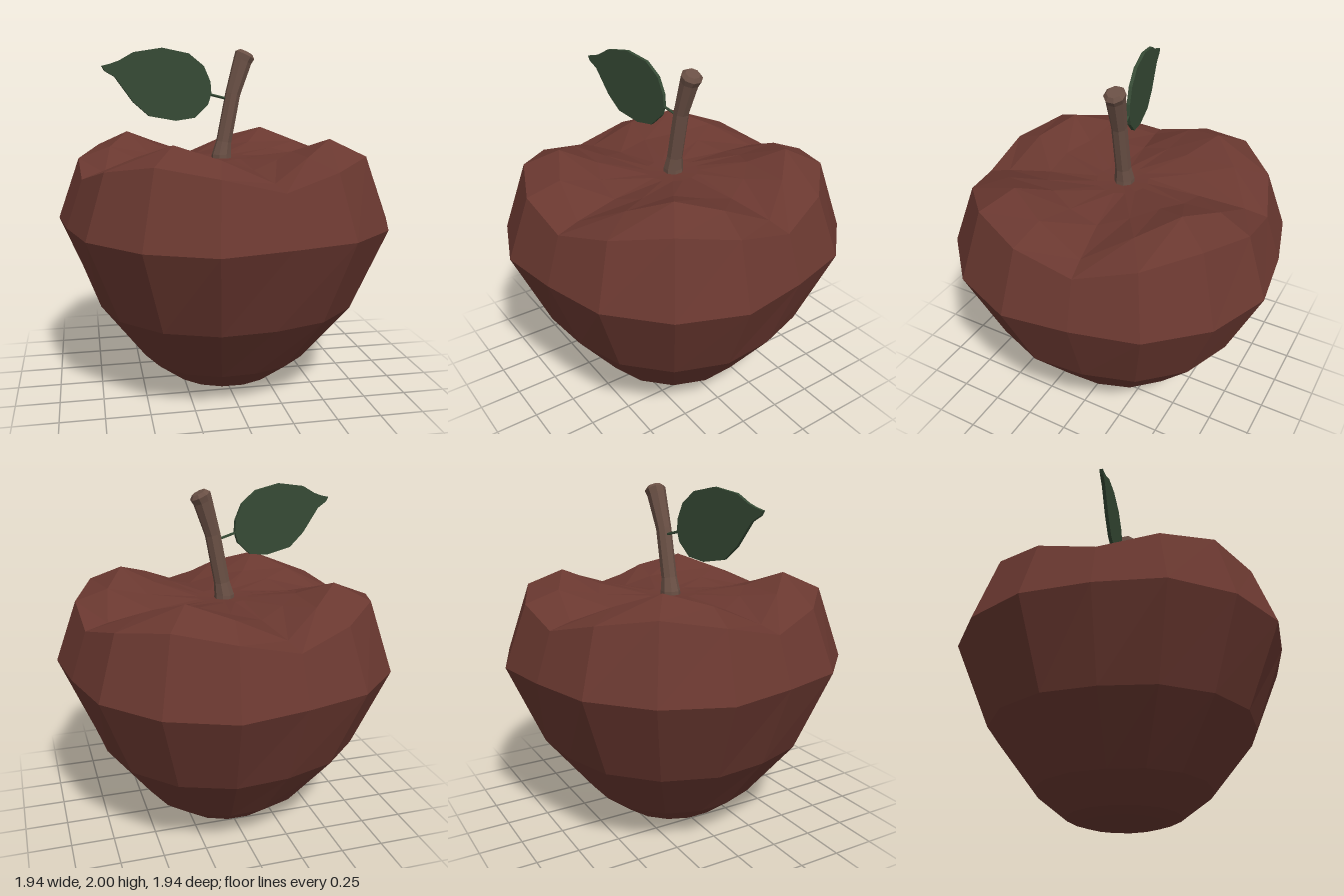
import * as THREE from 'three';

const paint = (color) => new THREE.MeshStandardMaterial({ color, flatShading: true, side: THREE.DoubleSide });

// Skin through rings of [x, y, z] points, bottom to top; end rings may be collapsed to a point.
function skin(rings) {
  const n = rings[0].length;
  const index = [];
  for (let i = 0; i < rings.length - 1; i++) {
    for (let k = 0; k < n; k++) {
      const a = i * n + k, b = i * n + (k + 1) % n;
      index.push(a, a + n, b, b, a + n, b + n);
    }
  }
  const geometry = new THREE.BufferGeometry();
  geometry.setAttribute('position', new THREE.Float32BufferAttribute(rings.flat(2), 3));
  geometry.setIndex(index);
  const flat = geometry.toNonIndexed();
  flat.computeVertexNormals();
  return flat;
}

// Fruit: 16 sides in four identical lobes. Each ring lists radius and height
// for the four columns of one lobe; the last column is the groove.
function fruitGeometry() {
  const same = (v) => [v, v, v, v];
  const levels = [
    [same(0), same(0)],
    [same(0.12), same(0.004)],
    [same(0.24), same(0.022)],
    [same(0.325), same(0.05)],
    [[0.51, 0.515, 0.51, 0.5], same(0.19)],
    [[0.785, 0.795, 0.785, 0.76], same(0.53)],
    [[0.99, 1.0, 0.99, 0.94], [1.0, 1.005, 1.01, 1.01]],
    [[0.86, 0.86, 0.86, 0.845], [1.36, 1.41, 1.36, 1.28]],
    [[0.67, 0.65, 0.65, 0.715], [1.43, 1.5, 1.42, 1.31]],
    [[0.44, 0.43, 0.43, 0.45], [1.39, 1.42, 1.39, 1.345]],
    [same(0.15), same(1.37)],
    [same(0), same(1.36)],
  ];
  return skin(levels.map(([radius, height]) =>
    Array.from({ length: 16 }, (_, k) => {
      const angle = (k + 0.5) * Math.PI / 8;
      const r = radius[k % 4];
      return [r * Math.cos(angle), height[k % 4], r * Math.sin(angle)];
    })));
}

// Stem: octagonal sections [x, y, z, radius, tilt] along a leaning line.
function stemGeometry() {
  const sections = [
    [-0.005, 1.34, -0.01, 0, 0],
    [-0.005, 1.34, -0.01, 0.06, 0],
    [-0.005, 1.385, -0.01, 0.058, 0],
    [0.01, 1.46, -0.01, 0.046, 0.15],
    [0.065, 1.74, -0.015, 0.045, 0.25],
    [0.125, 1.93, -0.027, 0.056, 0.4],
    [0.14, 1.962, -0.03, 0.062, 0.45],
    [0.148, 1.98, -0.031, 0.042, 0.45],
    [0.148, 1.98, -0.031, 0, 0.45],
  ];
  return skin(sections.map(([x, y, z, r, tilt]) =>
    Array.from({ length: 8 }, (_, k) => {
      const angle = (k + 0.5) * Math.PI / 4;
      const across = r * Math.cos(angle);
      return [x + across * Math.cos(tilt), y - across * Math.sin(tilt), z + r * Math.sin(angle)];
    })));
}

// Leaf: thin upright blade with a pointed tip
function leafGeometry() {
  const outline = [
    [-0.07, 1.74], [-0.075, 1.81], [-0.115, 1.9], [-0.205, 1.97], [-0.36, 2.0], [-0.52, 1.975],
    [-0.6, 1.93], [-0.65, 1.912], [-0.7, 1.9], [-0.685, 1.873], [-0.63, 1.84], [-0.53, 1.7],
    [-0.44, 1.62], [-0.285, 1.59], [-0.17, 1.605], [-0.09, 1.68],
  ].map(([x, y]) => new THREE.Vector2(x * 1.02, y));
  const geometry = new THREE.ExtrudeGeometry(new THREE.Shape(outline), { depth: 0.02, bevelEnabled: false });
  return geometry.translate(0, 0, -0.01);
}

export function createModel() {
  const model = new THREE.Group();
  model.name = 'apple';
  const add = (name, geometry, material, parent = model) => {
    const mesh = new THREE.Mesh(geometry, material);
    mesh.name = name;
    parent.add(mesh);
    return mesh;
  };

  add('fruit', fruitGeometry(), paint(0x6a3830));
  add('stem', stemGeometry(), paint(0x6a5045));

  // Leaf and its stalk share one turned group
  const leaf = new THREE.Group();
  leaf.name = 'leaf';
  leaf.rotation.y = 0.2;
  leaf.position.z = -0.01;
  model.add(leaf);
  const green = paint(0x364a35);
  add('leafBlade', leafGeometry(), green, leaf);
  const stalk = new THREE.LineCurve3(new THREE.Vector3(0.04, 1.708, 0), new THREE.Vector3(-0.09, 1.74, 0));
  add('leafStalk', new THREE.TubeGeometry(stalk, 1, 0.008, 5), green, leaf);

  return model;
}
